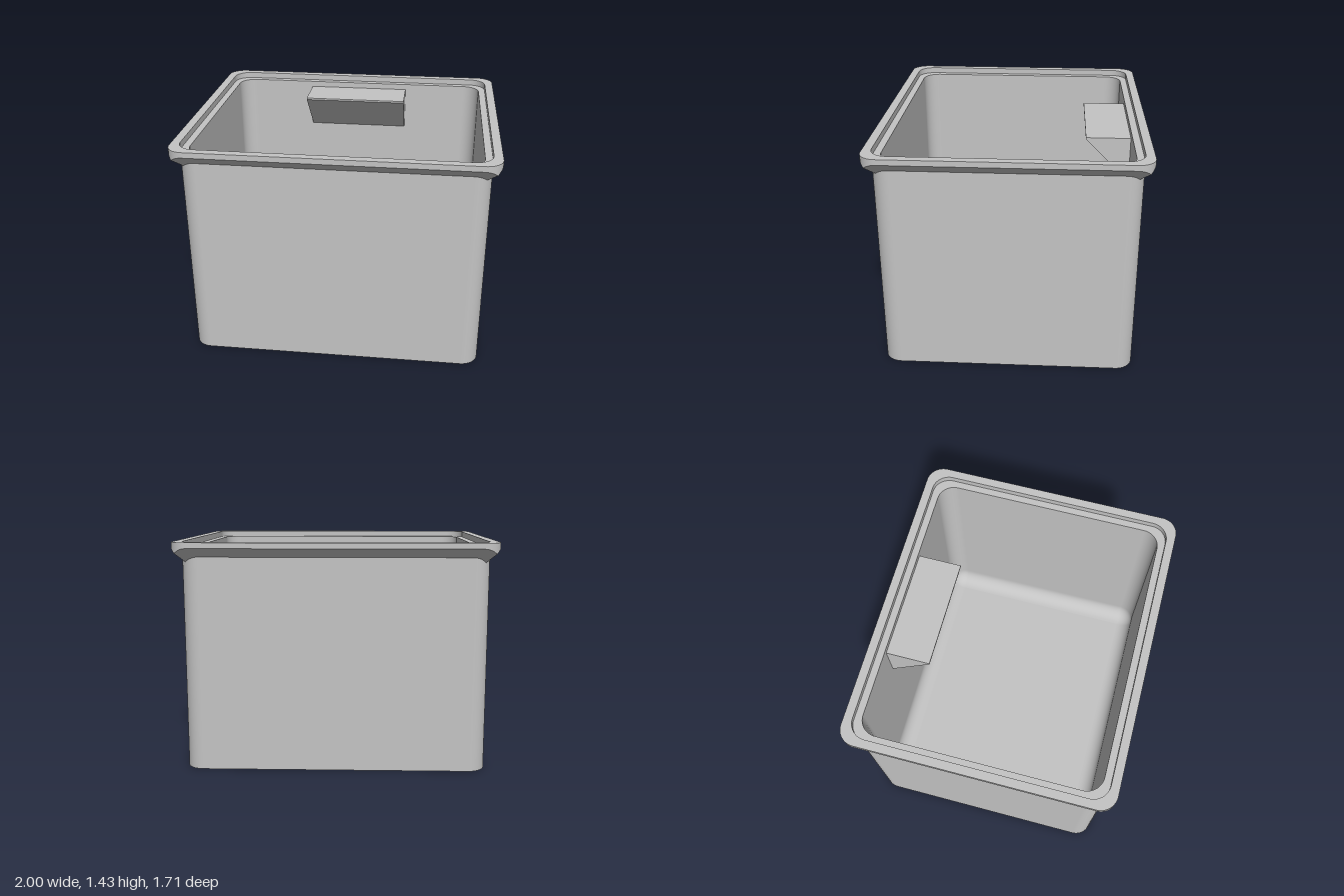
import * as THREE from 'three';

const HX = 1, HZ = 0.855, TOP = 1.43;      // outer rim half sizes and height
const LIP = 1.395;                         // lower edge of the rim band
const RADIUS = 0.11, ARC = 16;             // plan corner radius, segments per corner

// Height of the mitred 45 degree underside of the rim
const miter = (x, z) => LIP - Math.min(HX - Math.abs(x), HZ - Math.abs(z));

// Rounded rectangle, inset from the rim outline; y is a number or a rule of x and z
function ring(inset, y, r = RADIUS) {
  const points = [];
  const cx = HX - inset - r, cz = HZ - inset - r;
  const signs = [[1, 1], [-1, 1], [-1, -1], [1, -1]];
  signs.forEach(([sx, sz], corner) => {
    for (let i = 0; i <= ARC; i++) {
      const a = (corner + i / ARC) * Math.PI / 2;
      const x = sx * cx + r * Math.cos(a), z = sz * cz + r * Math.sin(a);
      points.push(new THREE.Vector3(x, typeof y === 'function' ? y(x, z) : y, z));
    }
  });
  return points;
}

// All points of a ring gathered at the centre, used to close a flat face
const centre = (y) => ring(0, y).map(() => new THREE.Vector3(0, y, 0));

// Skin over successive rings
function loft(rings, flat = false) {
  const n = rings[0].length, index = [];
  for (let k = 0; k < rings.length - 1; k++) {
    for (let i = 0; i < n; i++) {
      const j = (i + 1) % n;
      const a = k * n + i, b = a + n, c = k * n + j, d = c + n;
      index.push(a, b, c, c, b, d);
    }
  }
  let geometry = new THREE.BufferGeometry().setFromPoints(rings.flat());
  geometry.setIndex(index);
  if (flat) geometry = geometry.toNonIndexed();
  geometry.computeVertexNormals();
  return geometry;
}

export function createModel() {
  const group = new THREE.Group();
  const plastic = new THREE.MeshStandardMaterial({ color: 0xc4c4c4 });
  plastic.name = 'light grey plastic';
  const add = (name, geometry) => {
    const mesh = new THREE.Mesh(geometry, plastic);
    mesh.name = name;
    group.add(mesh);
  };

  const WALL = 0.055, CAVITY = 0.1;        // insets of outer wall and inner cavity
  const LEDGE = 1.39, FLOOR = 0.045, FILLET = 0.105;

  // Outside of the bin
  add('underside', loft([centre(0), ring(WALL, 0)], true));
  add('outerWall', loft([ring(WALL, 0), ring(WALL, miter)]));

  // Rim with mitred underside and a recessed step for a lid
  add('rimUnderside', loft([ring(WALL, miter), ring(0, miter)], true));
  add('rimEdge', loft([ring(0, miter), ring(0, TOP)]));
  add('rimTop', loft([ring(0, TOP), ring(WALL, TOP)], true));
  add('recessWall', loft([ring(WALL, TOP), ring(WALL, LEDGE)]));
  add('recessLedge', loft([ring(WALL, LEDGE), ring(CAVITY, LEDGE)], true));

  // Cavity wall, rounded into the floor
  const inner = [ring(CAVITY, LEDGE), ring(CAVITY, FLOOR + FILLET + 0.01)];
  for (let i = 0; i <= 10; i++) {
    const a = i / 10 * Math.PI / 2;
    const inset = FILLET * (1 - Math.cos(a));
    inner.push(ring(CAVITY + inset, FLOOR + FILLET * (1 - Math.sin(a)), RADIUS - inset));
  }
  add('innerWall', loft(inner));
  add('floor', loft([inner[inner.length - 1], centre(FLOOR)], true));

  // Wedge shelf on the inside of the back wall: flat top, thin lip, sloped underside
  const back = -(HZ - CAVITY), front = -0.47, shelfTop = 1.35, width = 0.714;
  const profile = new THREE.Shape([
    new THREE.Vector2(back, shelfTop - 0.295),
    new THREE.Vector2(front, shelfTop - 0.012),
    new THREE.Vector2(front, shelfTop),
    new THREE.Vector2(back, shelfTop),
  ]);
  const shelf = new THREE.ExtrudeGeometry(profile, { depth: width, bevelEnabled: false });
  shelf.rotateY(-Math.PI / 2).translate(width / 2, 0, 0);
  add('wedgeShelf', shelf);

  return group;
}
